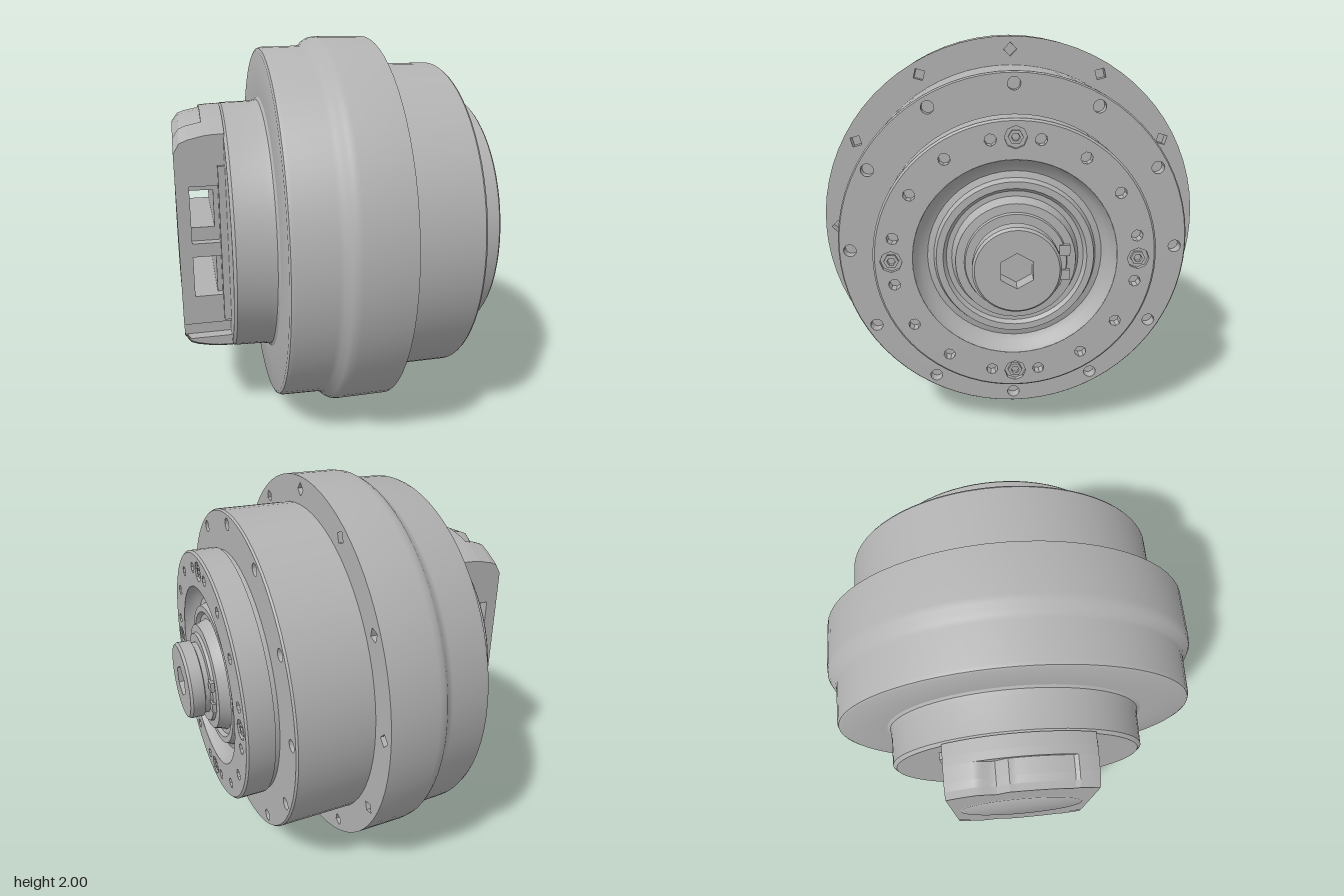
import * as THREE from 'three';
import { toCreasedNormals } from 'three/addons/utils/BufferGeometryUtils.js';

const TAU = Math.PI * 2;
const steel = new THREE.MeshStandardMaterial({ color: 0xb2b2b2, side: THREE.DoubleSide });
steel.name = 'grey steel';

export function createModel() {
  const model = new THREE.Group();
  const axis = new THREE.Group(); // everything turns about the x axis at y = 1
  axis.name = 'gearUnit';
  axis.position.y = 1;
  model.add(axis);

  const add = (name, geometry) => {
    const mesh = new THREE.Mesh(geometry, steel);
    mesh.name = name;
    axis.add(mesh);
    return mesh;
  };

  // Turned part from [x, radius] pairs
  const turned = (profile, sides = 72, crease = 0.55) => {
    const g = new THREE.LatheGeometry(profile.map(([x, r]) => new THREE.Vector2(r, x)), sides);
    g.rotateZ(-Math.PI / 2);
    return toCreasedNormals(g, crease);
  };

  // Flat ring facing +x with drilled holes: { a, r, size, sides, depth }
  const drilledRing = (name, x, inner, outer, holes) => {
    const shape = new THREE.Shape().absarc(0, 0, outer, 0, TAU);
    if (inner > 0) shape.holes.push(new THREE.Path().absarc(0, 0, inner, 0, TAU, true));
    for (const h of holes) {
      const cx = h.r * Math.cos(h.a), cy = h.r * Math.sin(h.a);
      const pts = [];
      for (let i = 0; i < h.sides; i++) {
        const t = h.a - (i / h.sides) * TAU;
        pts.push(new THREE.Vector2(cx + h.size * Math.cos(t), cy + h.size * Math.sin(t)));
      }
      shape.holes.push(new THREE.Path(pts));
      const cup = new THREE.CylinderGeometry(h.size, h.size, h.depth, h.sides, 1, true);
      cup.rotateY(Math.PI / 2).rotateX(Math.PI / 2).rotateZ(h.a);
      cup.translate(cx, cy, -h.depth / 2);
      cup.rotateY(Math.PI / 2);
      add(name + 'HoleWall', toCreasedNormals(cup, 0.3)).position.x = x;
      const floor = new THREE.CircleGeometry(h.size * 1.02, h.sides);
      floor.rotateZ(h.a).translate(cx, cy, -h.depth).rotateY(Math.PI / 2);
      add(name + 'HoleFloor', floor).position.x = x;
    }
    const g = new THREE.ShapeGeometry(shape, 36);
    g.rotateY(Math.PI / 2);
    add(name, g).position.x = x;
  };
  const circleOfHoles = (count, spec) =>
    Array.from({ length: count }, (_, i) => ({ ...spec, a: (i / count) * TAU }));

  // Rear housing and main flange
  add('mainHousing', turned([
    [-0.62, 0], [-0.62, 0.645], [-0.605, 0.663], [-0.45, 0.668], [-0.415, 0.675], [-0.405, 0.69],
    [-0.405, 0.925], [-0.398, 0.94], [-0.38, 0.947], [-0.19, 0.952], [-0.165, 0.96],
    [-0.14, 0.985], [-0.12, 0.996], [-0.09, 1], [0.16, 1],
  ]));
  drilledRing('flangeFace', 0.16, 0.85, 1,
    circleOfHoles(12, { r: 0.935, size: 0.034, sides: 4, depth: 0.05 }));

  // Front drum
  add('frontDrum', turned([[0.155, 0.857], [0.54, 0.857], [0.55, 0.85]]));
  drilledRing('drumFace', 0.55, 0.65, 0.85,
    circleOfHoles(12, { r: 0.8, size: 0.031, sides: 14, depth: 0.05 }));

  // Output flange with small threaded holes and four large bolt seats
  add('outputFlange', turned([
    [0.545, 0.652], [0.572, 0.652], [0.574, 0.665], [0.705, 0.665], [0.715, 0.655],
  ]));
  const outputHoles = circleOfHoles(4, { r: 0.58, size: 0.052, sides: 8, depth: 0.02 });
  for (let q = 0; q < 4; q++) {
    for (const deg of [11.3, 33.5, 56.5, 78.7]) {
      outputHoles.push({ a: ((q * 90 + deg) * Math.PI) / 180, r: 0.58, size: 0.028, sides: 8, depth: 0.05 });
    }
  }
  drilledRing('outputFace', 0.715, 0.48, 0.655, outputHoles);
  for (let q = 0; q < 4; q++) {
    const a = (q * Math.PI) / 2;
    const bolt = add('seatBolt', turned([
      [-0.02, 0.035], [-0.005, 0.035], [-0.005, 0.02], [-0.018, 0.018], [-0.018, 0],
    ], 6, 0.2));
    bolt.position.set(0.715, 0.58 * Math.sin(a), -0.58 * Math.cos(a));
  }

  // Seal groove, stepped hub and shaft
  add('sealAndShaft', turned([
    [0.715, 0.48], [0.69, 0.468], [0.665, 0.445], [0.65, 0.415], [0.658, 0.385], [0.69, 0.372],
    [0.69, 0.34], [0.672, 0.325], [0.672, 0.3], [0.71, 0.285], [0.732, 0.28], [0.735, 0.24],
    [0.75, 0.235], [0.75, 0.19], [0.775, 0.19], [0.78, 0.203], [0.842, 0.203], [0.855, 0.192],
  ], 48));
  drilledRing('shaftEnd', 0.855, 0, 0.192, [{ a: Math.PI / 6, r: 0, size: 0.085, sides: 6, depth: 0.08 }]);
  for (const s of [-1, 1]) {
    const tab = add('retainingRingTab', new THREE.BoxGeometry(0.02, 0.05, 0.05));
    tab.position.set(0.75, s * 0.06, -0.225);
  }

  // Notches in the top and bottom of the rear cap
  const dent = (z) => {
    if (z > -0.21 && z < -0.04) return 0.055 * (1 - Math.abs(z + 0.125) / 0.085);
    return z > -0.04 && z < 0.25 ? 0.02 : 0;
  };
  // Slab of the rear cap: a round bar with flat sides, limited to heights y0..y1
  const capSlab = (name, [xa, ra], [xb, rb], y0, y1, w, dented) => {
    const n = 36, pos = [];
    const ring = (x, r) => Array.from({ length: n + 1 }, (_, i) => {
      const z = -w + (2 * w * i) / n;
      const h = Math.sqrt(r * r - z * z) - (dented ? dent(z) : 0);
      const top = Math.min(h, Math.max(y1, -h));
      return { t: [x, top, z], b: [x, Math.min(top, Math.max(-h, y0)), z] };
    });
    const A = ring(xa, ra), B = ring(xb, rb);
    const quad = (a, b, c, d) => pos.push(...a, ...b, ...c, ...a, ...c, ...d);
    for (let i = 0; i < n; i++) {
      const j = i + 1;
      quad(A[i].t, A[j].t, B[j].t, B[i].t);
      quad(A[i].b, B[i].b, B[j].b, A[j].b);
      quad(B[i].b, B[i].t, B[j].t, B[j].b);
      quad(A[i].b, A[j].b, A[j].t, A[i].t);
    }
    quad(A[n].b, B[n].b, B[n].t, A[n].t);
    quad(A[0].b, A[0].t, B[0].t, B[0].b);
    const g = new THREE.BufferGeometry();
    g.setAttribute('position', new THREE.Float32BufferAttribute(pos, 3));
    add(name, toCreasedNormals(g, 0.35));
  };

  // Rear cap: end plate, window zone with two openings right through, base
  const foot = [[-0.5, -0.42, 0.3], [-1, -0.5, 0.36]];
  const windows = [
    [0.3, 1, 0.36], [0.27, 0.3, 0.31], [0.01, 0.08, 0.31], [-0.06, 0.01, 0.36],
    [-0.07, -0.06, 0.31], [-0.42, -0.27, 0.36], ...foot,
  ];
  const base = [[0.3, 1, 0.36], [0.01, 0.3, 0.31], [-0.06, 0.01, 0.36], [-0.27, -0.06, 0.31],
    [-0.42, -0.27, 0.36], ...foot];
  const layers = [
    ['capEnd', [-0.86, 0.585], [-0.83, 0.625], [[-0.42, 1, 0.36], ...foot], true],
    ['capEnd', [-0.83, 0.625], [-0.795, 0.638], [[-0.42, 1, 0.36], ...foot], true],
    ['capFrame', [-0.795, 0.638], [-0.72, 0.653], windows, true],
    ['capFrame', [-0.72, 0.653], [-0.68, 0.657], windows, false],
    ['capBase', [-0.68, 0.657], [-0.615, 0.66], base, false],
  ];
  for (const [name, a, b, chunks, dented] of layers) {
    for (const [y0, y1, w] of chunks) capSlab(name, a, b, y0, y1, w, dented);
  }
  capSlab('capLip', [-0.655, 0.655], [-0.615, 0.66], -0.4, 0.4, 0.385, false);

  // Shallow cover on the rear end
  add('rearCover', turned([[-0.863, 0], [-0.863, 0.32], [-0.858, 0.33]], 40));

  return model;
}
